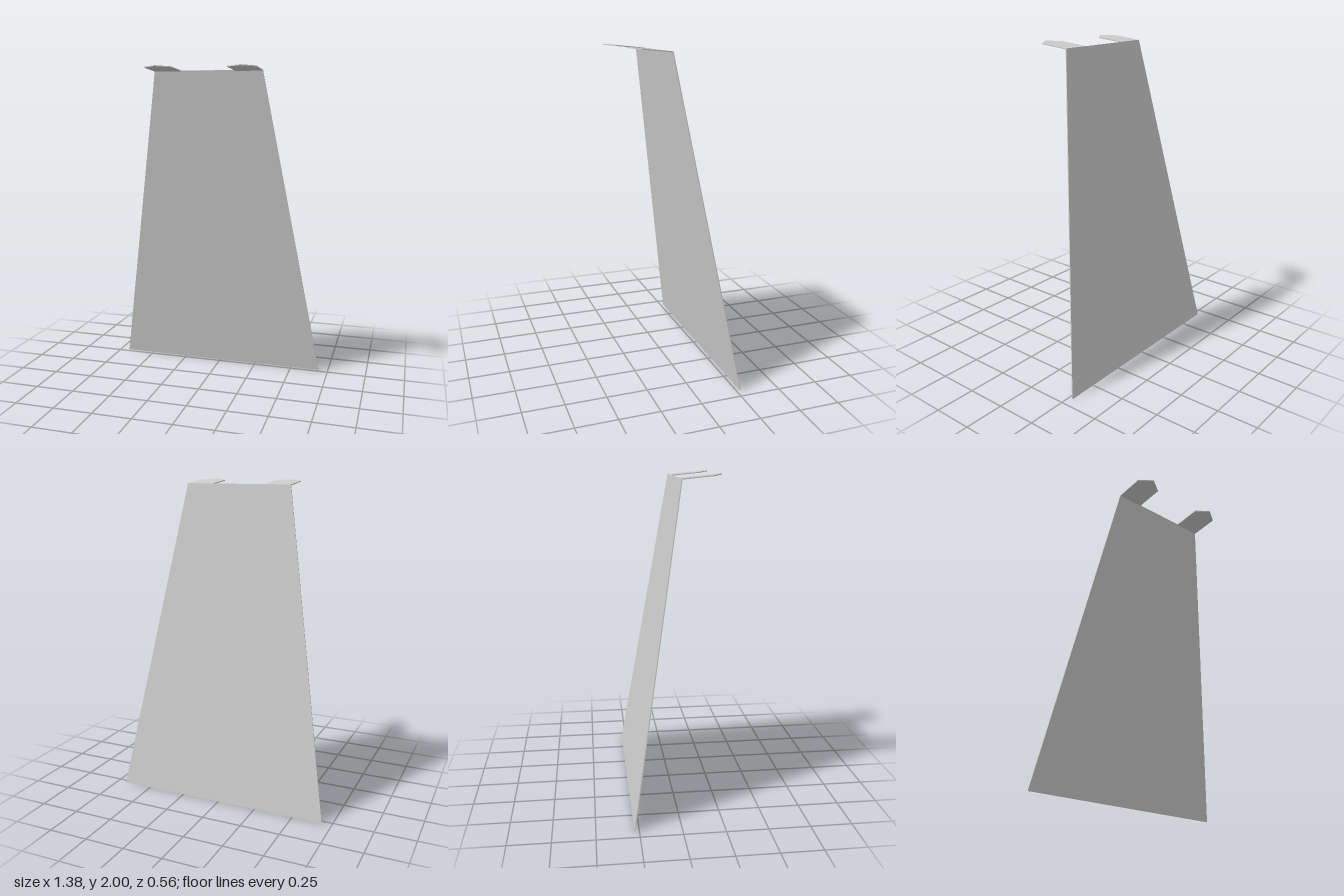
import * as THREE from 'three';

const THICK = 0.006;
const material = new THREE.MeshStandardMaterial({ color: 0xcccccc, flatShading: true });

// Thin sheet cut from an outline, hinged about its lower edge.
function sheet(name, outline, y, z, tilt) {
  const shape = new THREE.Shape(outline.map(([px, py]) => new THREE.Vector2(px, py)));
  const geometry = new THREE.ExtrudeGeometry(shape, { depth: THICK, bevelEnabled: false });
  const mesh = new THREE.Mesh(geometry, material);
  mesh.name = name;
  mesh.position.set(0, y, z);
  mesh.rotation.x = tilt;
  return mesh;
}

export function createModel() {
  const group = new THREE.Group();
  group.name = 'cape';

  // Tapered back panel, leaning forward at the top
  const rise = 1.975, lean = 0.313, length = Math.hypot(rise, lean);
  group.add(sheet('backPanel',
    [[-0.688, 0], [0.688, 0], [0.342, length], [-0.342, length]],
    0.001, -0.279, Math.atan2(lean, rise)));

  // Pointed shoulder tabs, reaching forward and slightly up
  const tilt = Math.atan2(0.243, 0.024);
  for (const [name, s] of [['leftShoulderTab', 1], ['rightShoulderTab', -1]]) {
    group.add(sheet(name,
      [[0.171, 0], [0.342, 0], [0.342, 0.186], [0.257, 0.244], [0.171, 0.186]]
        .map(([x, y]) => [s * x, y]),
      1.976, 0.036, tilt));
  }
  return group;
}
